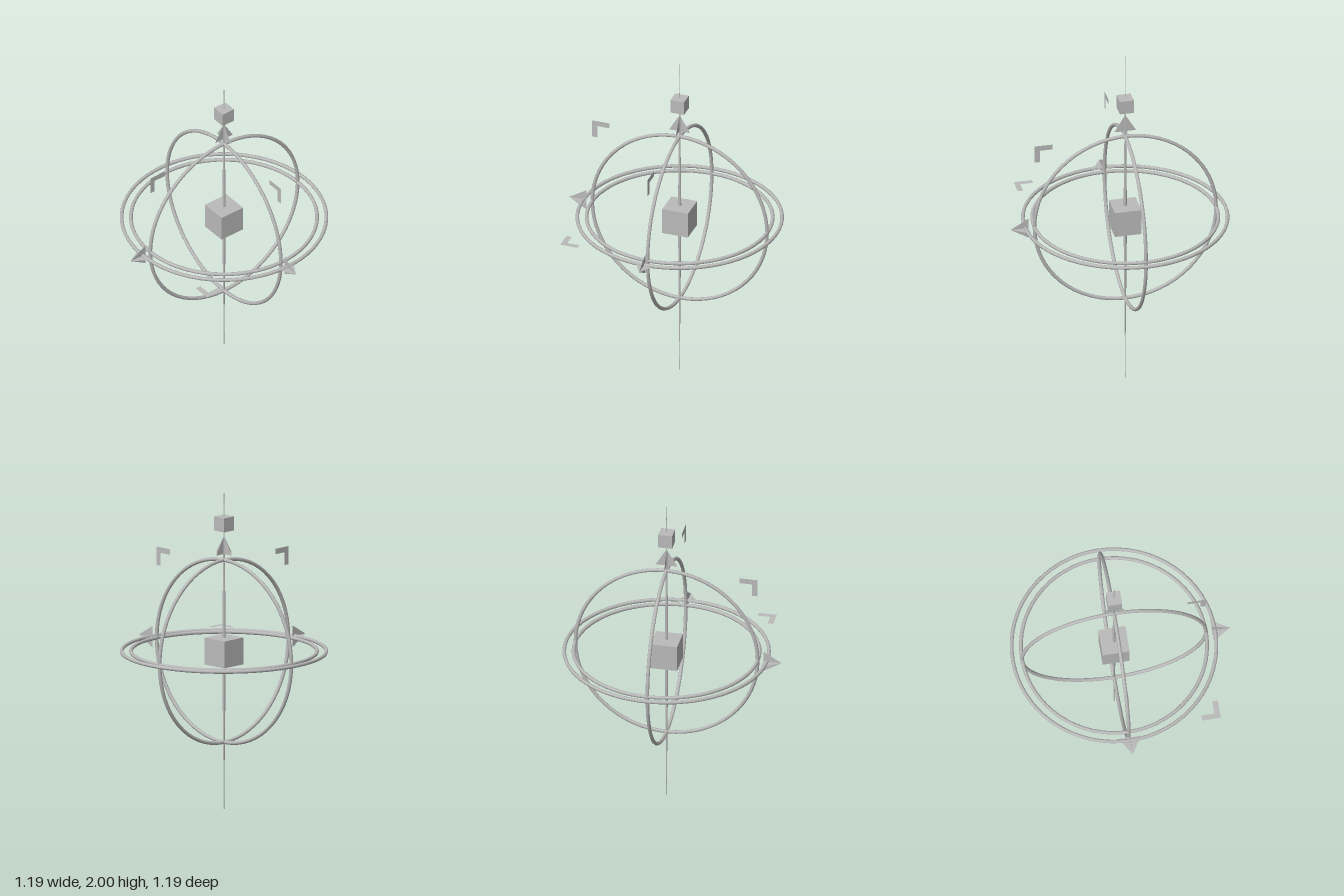
import * as THREE from 'three';

export function createModel() {
  const model = new THREE.Group();
  model.name = 'axisGizmo';

  const grey = new THREE.MeshStandardMaterial({ color: 0xbababa, side: THREE.DoubleSide });
  grey.name = 'grey';

  // All handles share one pivot
  const pivot = new THREE.Group();
  pivot.name = 'handles';
  pivot.position.set(-0.04, 1, -0.04);
  model.add(pivot);

  const add = (name, geometry, parent = pivot) => {
    const mesh = new THREE.Mesh(geometry, grey);
    mesh.name = name;
    parent.add(mesh);
    return mesh;
  };

  // Rotation rings, one per axis, and the larger outer ring
  const ring = (name, radius, rx, ry) => {
    add(name, new THREE.TorusGeometry(radius, 0.01, 8, 64)).rotation.set(rx, ry, 0);
  };
  ring('ringZ', 0.5, 0, 0);
  ring('ringX', 0.5, 0, Math.PI / 2);
  ring('ringY', 0.5, Math.PI / 2, 0);
  ring('outerRing', 0.55, Math.PI / 2, 0);

  // Cubes at the centre and above the upper arrow
  add('centreCube', new THREE.BoxGeometry(0.147, 0.147, 0.147));
  add('upperCube', new THREE.BoxGeometry(0.077, 0.077, 0.077)).position.y = 0.7;

  // Needle tapering to a point at both ends
  const spindle = [[0, -1], [0.01, 0], [0, 1]].map(([r, y]) => new THREE.Vector2(r, y));
  add('verticalNeedle', new THREE.LatheGeometry(spindle, 8));

  // Arrowheads: two crossed flat triangles pointing along an axis
  const triangle = new THREE.Shape([
    new THREE.Vector2(-0.06, 0.532),
    new THREE.Vector2(0.06, 0.532),
    new THREE.Vector2(0, 0.632),
  ]);
  const arrow = (name, rx, rz) => {
    const group = new THREE.Group();
    group.name = name;
    group.rotation.set(rx, 0, rz);
    for (const turn of [0, Math.PI / 2]) {
      add('arrowBlade', new THREE.ShapeGeometry(triangle), group).rotation.y = turn;
    }
    pivot.add(group);
  };
  arrow('arrowX', 0, -Math.PI / 2);
  arrow('arrowY', 0, 0);
  arrow('arrowZ', Math.PI / 2, 0);

  // Flat corner brackets, one in each axis plane
  const corner = new THREE.Shape(
    [[0.4, 0.47], [0.47, 0.47], [0.47, 0.4], [0.5, 0.4], [0.5, 0.5], [0.4, 0.5]]
      .map(([x, y]) => new THREE.Vector2(x, y)));
  const bracket = (name, rx, ry) => {
    add(name, new THREE.ShapeGeometry(corner)).rotation.set(rx, ry, 0);
  };
  bracket('bracketXY', 0, 0);
  bracket('bracketYZ', 0, -Math.PI / 2);
  bracket('bracketXZ', Math.PI / 2, 0);

  return model;
}
